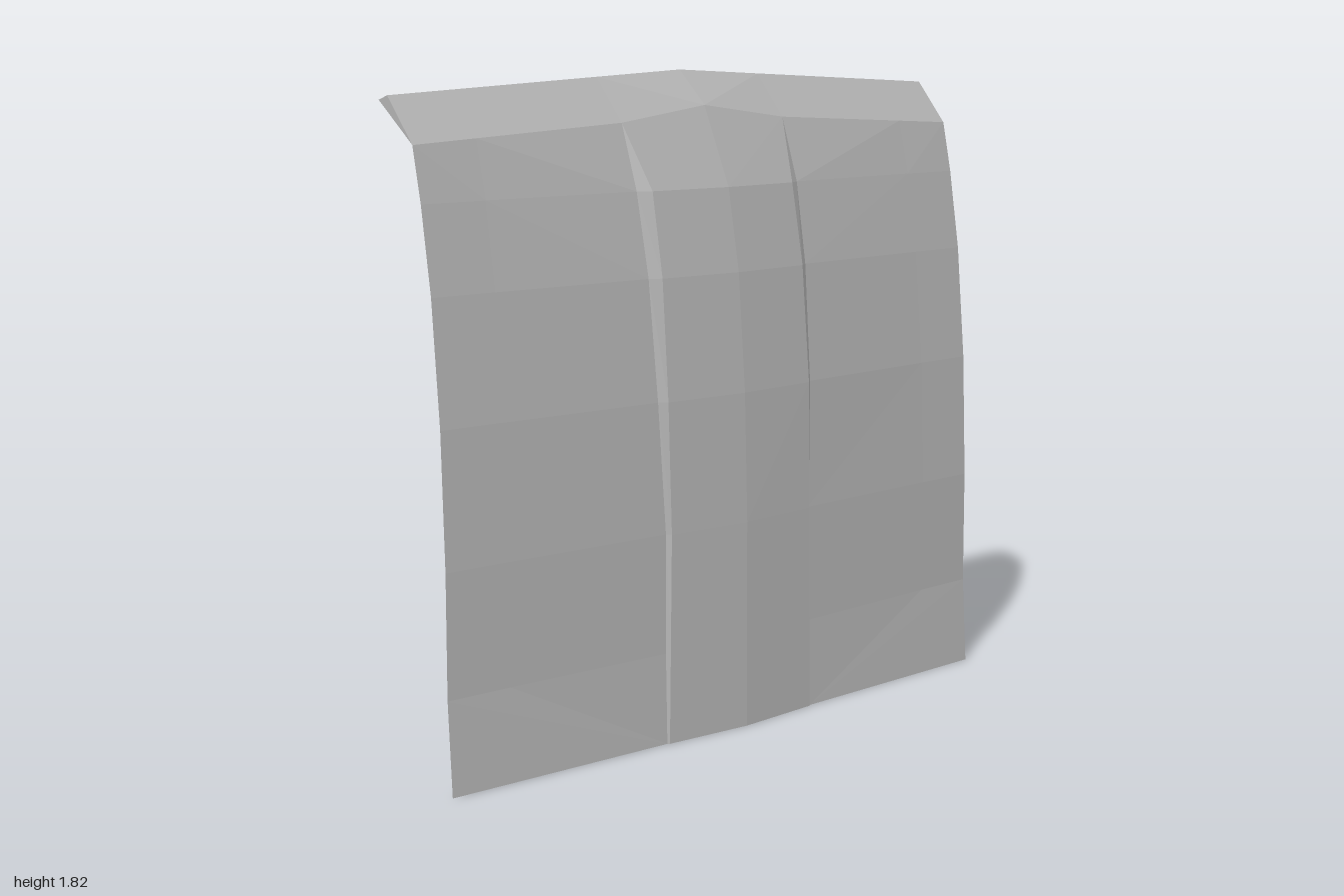
import * as THREE from 'three';

// Half cross-sections, bottom to top. Each point is [x, y, z] for x >= 0, centre outwards.
const levels = [0, 0.25, 0.58, 0.94, 1.27, 1.5];
const crownZ = [0.15, 0.15, 0.15, 0.14, 0.115, 0.075];
const ridgeX = [0.275, 0.271, 0.266, 0.271, 0.268, 0.266];
const ridgeZ = [0.13, 0.13, 0.13, 0.123, 0.098, 0.058];
const footX = [0.28, 0.277, 0.275, 0.293, 0.3, 0.305];
const footZ = [0.125, 0.117, 0.116, 0.106, 0.078, 0.038];
const sideZ = [0.1, 0.085, 0.085, 0.073, 0.045, 0.01];

// Flat-shaded surface from half cross-sections, mirrored across x = 0.
function mirroredSurface(rows, { back = false, otherDiagonal = false } = {}) {
  const pos = [];
  for (const side of [1, -1]) {
    const tri = (a, b, c) => {
      const order = (side > 0) !== back ? [a, b, c] : [a, c, b];
      for (const [x, y, z] of order) pos.push(side * x, y, z);
    };
    for (let i = 0; i < rows.length - 1; i++) {
      for (let j = 0; j < rows[i].length - 1; j++) {
        const a = rows[i][j], b = rows[i][j + 1];
        const c = rows[i + 1][j + 1], d = rows[i + 1][j];
        if (otherDiagonal) { tri(a, b, d); tri(b, c, d); }
        else { tri(a, b, c); tri(a, c, d); }
      }
    }
  }
  const geo = new THREE.BufferGeometry();
  geo.setAttribute('position', new THREE.Float32BufferAttribute(pos, 3));
  geo.computeVertexNormals();
  return geo;
}

export function createModel() {
  const group = new THREE.Group();
  group.name = 'hoodPanel';
  const paint = new THREE.MeshStandardMaterial({ color: 0xb4b4b4, side: THREE.DoubleSide });
  paint.name = 'greyPaint';
  paint.flatShading = true;
  const add = (name, geo) => {
    const mesh = new THREE.Mesh(geo, paint);
    mesh.name = name;
    group.add(mesh);
  };

  // Outer skin: raised centre, stepped wall, nearly flat wings
  const outer = levels.map((y, i) => {
    const foot = [footX[i], y, footZ[i]];
    const wing = i === 0 ? foot : [0.8, y, sideZ[i] + 0.006];
    return [[0, y, crownZ[i]], [ridgeX[i], y, ridgeZ[i]], foot, wing, [1, y, sideZ[i]]];
  });
  const fold = [[0, 1.72, -0.02], [0.305, 1.68, -0.02], [0.305, 1.68, -0.02],
    [0.8, 1.655, -0.02], [1, 1.645, -0.02]];
  outer.push(fold);
  add('outerSkin', mirroredSurface(outer));

  // Upturned trailing edge
  const topY = (x) => 1.815 - 0.05 * x;
  const lipFront = fold.map(([x]) => [x, topY(x), -0.12]);
  const lipBack = fold.map(([x]) => [x, topY(x) - 0.012, -0.155]);
  add('trailingEdge', mirroredSurface([fold, lipFront]));
  add('trailingEdgeTop', mirroredSurface([lipFront, lipBack]));

  // Return flange under the trailing edge, with its closed ends
  const innerFold = [[0, 1.645, -0.02], [1, 1.645, -0.02]];
  const rim = [lipBack[0], lipBack[4]];
  add('returnFlange', mirroredSurface([innerFold, rim], { back: true }));
  add('flangeEnds', mirroredSurface([[fold[4], fold[4]], [lipFront[4], lipBack[4]]], { back: true }));

  // Smooth inner skin meeting the outer skin along the bottom and sides
  const inner = levels.map((y, i) => i === 0
    ? [[0, 0, crownZ[0]], [footX[0], 0, footZ[0]], [1, 0, sideZ[0]]]
    : [[0, y, sideZ[i]], [footX[0], y, sideZ[i]], [1, y, sideZ[i]]]);
  inner.push([innerFold[0], [footX[0], 1.645, -0.02], innerFold[1]]);
  add('innerSkin', mirroredSurface(inner, { back: true, otherDiagonal: true }));

  return group;
}
